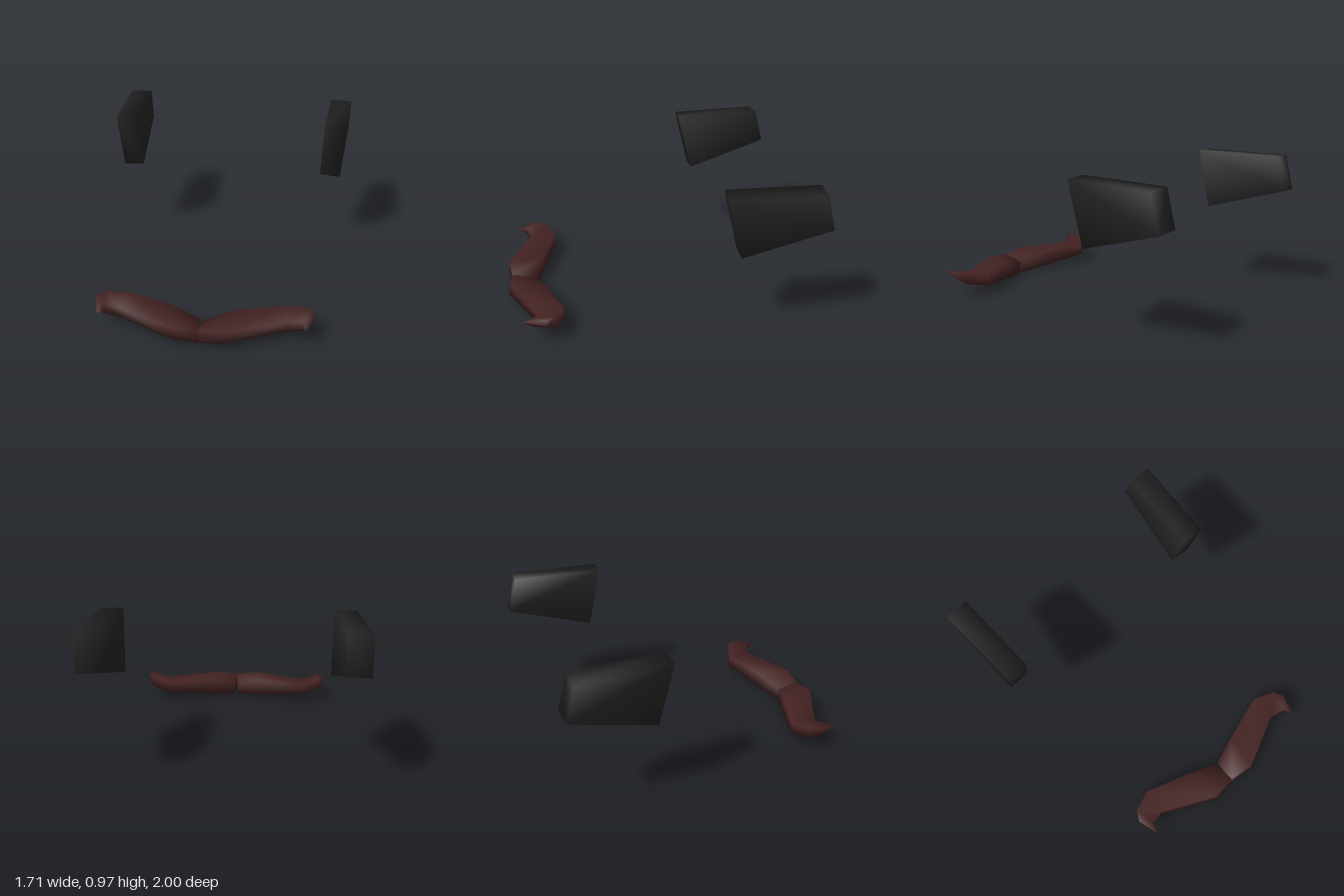
import * as THREE from 'three';

// Closed loft through four-cornered rings running outward along +x.
// Ring order: front top, back top, back bottom, front bottom. side = -1 mirrors it.
function loft(rings, side) {
  const pos = [], index = [];
  const tri = (a, b, c) => (side > 0 ? index.push(a, b, c) : index.push(a, c, b));
  for (const ring of rings) for (const [x, y, z] of ring) pos.push(x * side, y, z);
  for (let r = 0; r < rings.length - 1; r++) {
    for (let k = 0; k < 4; k++) {
      const a = r * 4 + k, d = r * 4 + ((k + 1) % 4);
      tri(a, a + 4, d + 4);
      tri(a, d + 4, d);
    }
  }
  const e = (rings.length - 1) * 4;
  tri(0, 1, 2); tri(0, 2, 3);
  tri(e, e + 2, e + 1); tri(e, e + 3, e + 2);
  const g = new THREE.BufferGeometry();
  g.setAttribute('position', new THREE.Float32BufferAttribute(pos, 3));
  g.setIndex(index);
  g.computeVertexNormals();
  return g;
}

export function createModel() {
  const model = new THREE.Group();
  const black = new THREE.MeshStandardMaterial({ color: 0x232323 });
  black.name = 'charcoal black';
  const brown = new THREE.MeshStandardMaterial({ color: 0x442222 });
  brown.name = 'dark brown';

  // Tapered side block: inner face, then outer face
  const block = [
    [[0.672, 0.977, -0.34], [0.7, 0.977, -0.94], [0.704, 0.745, -1.0], [0.657, 0.575, -0.435]],
    [[0.815, 0.97, -0.335], [0.855, 0.97, -0.93], [0.847, 0.735, -0.99], [0.8, 0.566, -0.43]],
  ];

  // Curved half: centre, forward bend, rear bend, curl, pointed tip
  const tip = [0.65, 0.155, 0.915];
  const curve = [
    [[0, 0.125, 0.97], [0.01, 0.095, 0.815], [0.022, 0.003, 0.82], [0.002, 0.035, 0.975]],
    [[0.165, 0.138, 0.99], [0.2, 0.14, 0.748], [0.2, 0.027, 0.75], [0.165, 0.065, 0.998]],
    [[0.535, 0.14, 0.82], [0.515, 0.142, 0.648], [0.515, 0.065, 0.648], [0.535, 0.07, 0.825]],
    [[0.63, 0.165, 0.845], [0.655, 0.177, 0.705], [0.66, 0.098, 0.705], [0.63, 0.1, 0.845]],
    [tip, [0.693, 0.18, 0.77], [0.693, 0.13, 0.77], tip],
  ];

  for (const [label, side] of [['left', 1], ['right', -1]]) {
    const sideBlock = new THREE.Mesh(loft(block, side), black);
    sideBlock.name = label + 'SideBlock';
    const half = new THREE.Mesh(loft(curve, side), brown);
    half.name = label + 'MoustacheHalf';
    model.add(sideBlock, half);
  }
  return model;
}
